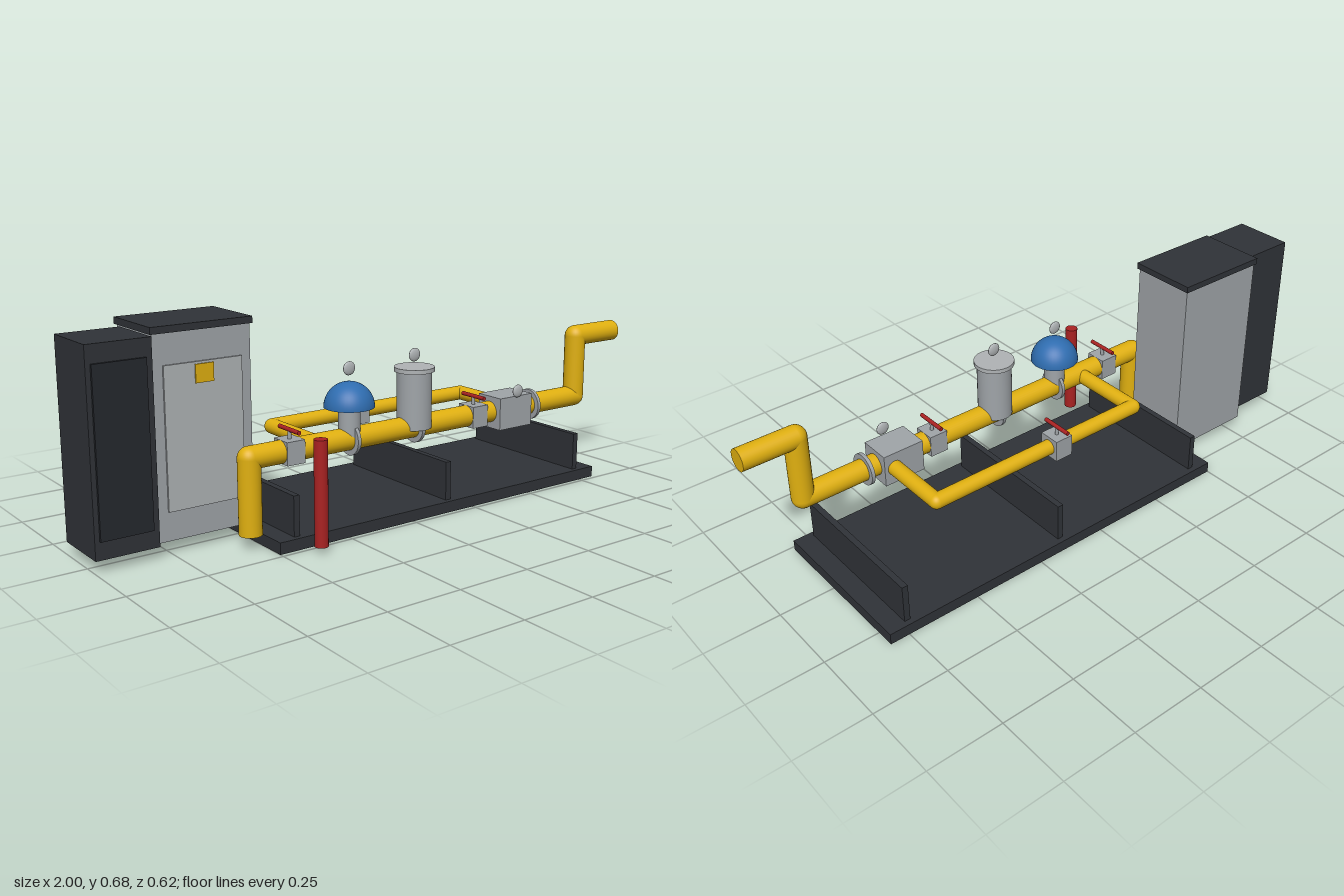
import * as THREE from 'three';

const paint = (color) => new THREE.MeshStandardMaterial({ color });
const DARK = paint(0x303338), BLACK = paint(0x25282d), STEEL = paint(0xa0a5a9), PALE = paint(0xb0b4b6);
const YELLOW = paint(0xe0b010), RED = paint(0xaa2222), BLUE = paint(0x2f6db0);
const Y = 0.277, Z = 0.127, ZB = -0.147; // pipe height, main run and bypass depth

export function createModel() {
  const model = new THREE.Group();
  model.name = 'gasRegulatingSkid';

  const add = (name, geometry, material, x, y, z, parent = model) => {
    const mesh = new THREE.Mesh(geometry, material);
    mesh.name = name;
    mesh.position.set(x, y, z);
    parent.add(mesh);
    return mesh;
  };
  // box given by its limits on each axis
  const box = (name, material, [x0, x1], [y0, y1], [z0, z1]) =>
    add(name, new THREE.BoxGeometry(x1 - x0, y1 - y0, z1 - z0), material,
      (x0 + x1) / 2, (y0 + y1) / 2, (z0 + z1) / 2);
  const cylinder = (name, material, r, y0, y1, x, z) =>
    add(name, new THREE.CylinderGeometry(r, r, y1 - y0, 32), material, x, (y0 + y1) / 2, z);

  // straight pipes between points, with a ball at every elbow
  const pipe = (name, r, points) => {
    const group = new THREE.Group();
    group.name = name;
    model.add(group);
    const pts = points.map((p) => new THREE.Vector3(...p));
    for (let i = 1; i < pts.length; i++) {
      const dir = pts[i].clone().sub(pts[i - 1]);
      const mid = pts[i].clone().add(pts[i - 1]).multiplyScalar(0.5);
      const run = add('pipeRun', new THREE.CylinderGeometry(r, r, dir.length(), 32), YELLOW, ...mid, group);
      run.quaternion.setFromUnitVectors(new THREE.Vector3(0, 1, 0), dir.normalize());
      if (i < pts.length - 1) add('elbow', new THREE.SphereGeometry(r, 32, 20), YELLOW, ...pts[i], group);
    }
  };
  const flange = (x) => {
    add('flange', new THREE.CylinderGeometry(0.053, 0.053, 0.012, 32), STEEL, x, Y, Z).rotation.z = Math.PI / 2;
  };
  const gauge = (x, y, z) => {
    add('gauge', new THREE.SphereGeometry(0.022, 24, 16), PALE, x, y, z).scale.z = 0.35;
  };
  const valve = (x, z) => {
    box('valveBody', STEEL, [x - 0.032, x + 0.032], [Y - 0.037, Y + 0.036], [z - 0.037, z + 0.037]);
    cylinder('valveStem', STEEL, 0.006, Y + 0.03, 0.34, x, z);
    add('valveHandle', new THREE.CylinderGeometry(0.0068, 0.0068, 0.108, 16), RED, x, 0.341, z)
      .rotation.x = Math.PI / 2;
  };

  // base plate and its cross ribs
  box('basePlate', DARK, [-0.5, 0.815], [0, 0.037], [-0.312, 0.235]);
  for (const x of [-0.43, 0.157, 0.742]) {
    box('supportRib', DARK, [x - 0.01, x + 0.01], [0.037, 0.165], [-0.293, 0.218]);
  }

  // grey control cabinet
  box('cabinetBody', STEEL, [-0.788, -0.468], [0.04, 0.66], [-0.184, 0.036]);
  box('cabinetRoof', DARK, [-0.795, -0.462], [0.659, 0.68], [-0.19, 0.043]);
  box('cabinetDoor', PALE, [-0.757, -0.5], [0.13, 0.566], [0.034, 0.042]);
  box('warningPlate', YELLOW, [-0.657, -0.597], [0.503, 0.559], [0.04, 0.046]);

  // dark side cabinet
  box('sideCabinetBody', DARK, [-1, -0.8], [0.04, 0.658], [-0.14, 0.062]);
  box('sideCabinetDoor', BLACK, [-0.985, -0.82], [0.096, 0.603], [0.06, 0.07]);

  // main line and bypass loop
  pipe('mainPipe', 0.036, [[-0.535, 0.04, Z], [-0.535, Y, Z], [0.815, Y, Z], [0.815, 0.495, Z], [1, 0.495, Z]]);
  pipe('bypassPipe', 0.025, [[-0.282, Y, Z], [-0.282, Y, ZB], [0.52, Y, ZB], [0.52, Y, Z]]);
  [-0.17, 0.085, 0.597].forEach(flange);
  valve(-0.393, Z);
  valve(0.34, Z);
  valve(0.05, ZB);

  // pressure regulator with closed dome
  cylinder('regulatorNeck', STEEL, 0.035, Y, 0.38, -0.172, Z);
  const dome = [new THREE.Vector2(0, 0), new THREE.Vector2(0.08, 0)];
  add('regulatorDomeBase', new THREE.CircleGeometry(0.08, 40), BLUE, -0.172, 0.379, Z).rotation.x = Math.PI / 2;
  add('regulatorDome', new THREE.SphereGeometry(dome[1].x, 40, 16, 0, Math.PI * 2, 0, Math.PI / 2), BLUE,
    -0.172, 0.379, Z);
  gauge(-0.172, 0.5, Z);

  // filter vessel
  cylinder('filterBody', STEEL, 0.057, 0.274, 0.462, 0.085, Z);
  cylinder('filterLid', PALE, 0.066, 0.46, 0.474, 0.085, Z);
  gauge(0.085, 0.512, Z);

  // flow meter
  box('meterBody', STEEL, [0.413, 0.557], [0.221, 0.33], [0.073, 0.181]);
  gauge(0.485, 0.349, 0.187);

  // protective post
  cylinder('guardPost', RED, 0.021, 0.02, 0.347, -0.392, 0.291);

  return model;
}
